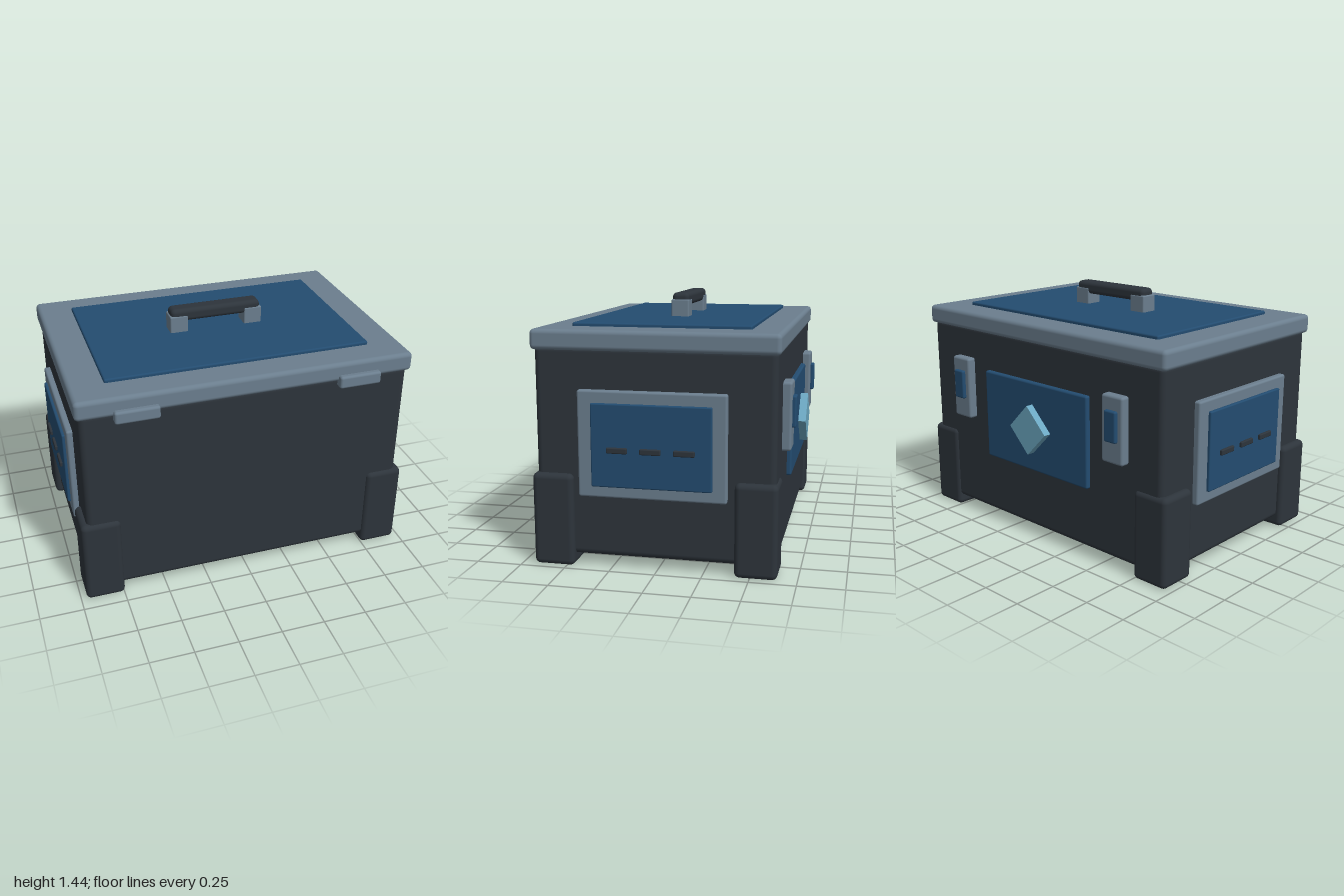
import * as THREE from 'three';
import { RoundedBoxGeometry } from 'three/addons/geometries/RoundedBoxGeometry.js';

const material = (name, color) => {
  const m = new THREE.MeshStandardMaterial({ color });
  m.name = name;
  return m;
};

export function createModel() {
  const model = new THREE.Group();
  model.name = 'storageCrate';

  const dark = material('charcoal', 0x2d343b);
  const grey = material('slateGrey', 0x6b7e8e);
  const blue = material('deepBlue', 0x234c70);
  const light = material('lightBlue', 0x6ca8c2);

  // Softly bevelled box given by its extents on each axis
  function block(name, mat, [x0, x1], [y0, y1], [z0, z1], radius) {
    const geo = new RoundedBoxGeometry(x1 - x0, y1 - y0, z1 - z0, 3, radius);
    const mesh = new THREE.Mesh(geo, mat);
    mesh.name = name;
    mesh.position.set((x0 + x1) / 2, (y0 + y1) / 2, (z0 + z1) / 2);
    model.add(mesh);
    return mesh;
  }
  // Extent on x, mirrored when side is -1
  const mirror = (side, a, b) => (side > 0 ? [a, b] : [-b, -a]);

  // Main body and lid
  block('body', dark, [-0.933, 0.933], [0.06, 1.2], [-0.632, 0.665], 0.035);
  block('lid', grey, [-0.952, 0.952], [1.175, 1.285], [-0.648, 0.682], 0.025);
  block('lidPanel', blue, [-0.757, 0.757], [1.265, 1.305], [-0.473, 0.507], 0.01);

  // Carrying handle
  block('handleGrip', dark, [-0.268, 0.268], [1.365, 1.44], [-0.032, 0.066], 0.025);

  for (const side of [1, -1]) {
    const label = side > 0 ? 'left' : 'right';
    const x = (a, b) => mirror(side, a, b);

    block(label + 'HandlePost', grey, x(0.17, 0.276), [1.28, 1.402], [-0.034, 0.069], 0.008);

    // Corner feet
    block(label + 'FrontFoot', dark, x(0.744, 0.968), [0, 0.511], [0.455, 0.683], 0.03);
    block(label + 'BackFoot', dark, x(0.744, 0.968), [0, 0.511], [-0.646, -0.417], 0.03);

    // Front hinges under the lid
    block(label + 'Hinge', grey, x(0.506, 0.75), [1.142, 1.215], [0.64, 0.712], 0.014);

    // Side panels with vent slots
    block(label + 'SideFrame', grey, x(0.91, 0.968), [0.398, 0.973], [-0.38, 0.42], 0.012);
    block(label + 'SidePanel', blue, x(0.945, 0.985), [0.46, 0.908], [-0.305, 0.343], 0.008);
    for (const z of [0.199, 0.02, -0.16]) {
      block(label + 'VentSlot', dark, x(0.97, 1), [0.647, 0.678], [z - 0.056, z + 0.056], 0.006);
    }

    // Back latches
    block(label + 'Latch', grey, x(0.55, 0.7), [0.632, 1.006], [-0.681, -0.61], 0.015);
    block(label + 'LatchButton', blue, x(0.585, 0.667), [0.755, 0.928], [-0.702, -0.66], 0.01);
  }

  // Back panel with a raised diamond
  block('backPanel', blue, [-0.42, 0.42], [0.425, 0.955], [-0.659, -0.61], 0.012);
  const diamond = new THREE.Mesh(new THREE.BoxGeometry(0.205, 0.205, 0.044), light);
  diamond.name = 'backDiamond';
  diamond.position.set(0, 0.686, -0.69);
  diamond.rotation.z = Math.PI / 4;
  model.add(diamond);

  return model;
}
